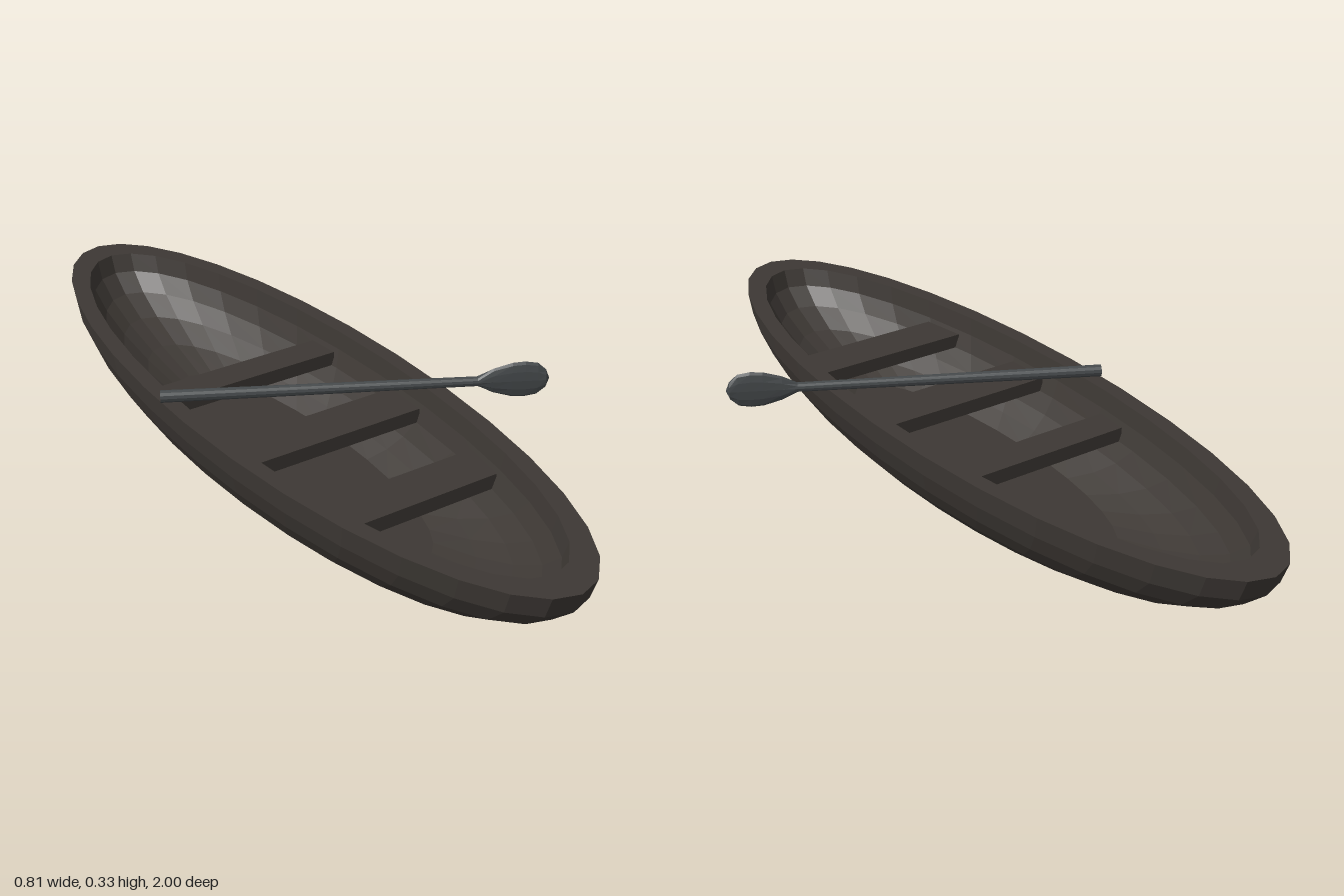
import * as THREE from 'three';

const WOOD = new THREE.MeshStandardMaterial({ color: 0x3d3834, flatShading: true });
const OAR = new THREE.MeshStandardMaterial({ color: 0x45494b, flatShading: true });
const CENTRE_X = -0.105;
const RIM_Y = 0.275;

function addMesh(parent, name, geometry, material) {
  const mesh = new THREE.Mesh(geometry, material);
  mesh.name = name;
  parent.add(mesh);
  return mesh;
}

// Half ellipsoid shell: outer skin up to the rim, across it, and down to a flat floor
function hullGeometry() {
  const step = Math.PI / 16;
  const profile = [];
  for (let i = 0; i <= 8; i++) profile.push(new THREE.Vector2(Math.sin(i * step), -Math.cos(i * step)));
  for (let i = 8; i >= 3; i--) profile.push(new THREE.Vector2(Math.sin(i * step), -Math.cos(i * step)));
  profile.push(new THREE.Vector2(0, -Math.cos(3 * step)));

  const geometry = new THREE.LatheGeometry(profile, 32);
  const outer = new THREE.Vector3(0.297, 0.275, 1);
  const inner = new THREE.Vector3(0.257, 0.235, 0.922);
  const pos = geometry.attributes.position;
  const v = new THREE.Vector3();
  for (let i = 0; i < pos.count; i++) {
    v.fromBufferAttribute(pos, i).multiply(i % profile.length <= 8 ? outer : inner);
    pos.setXYZ(i, v.x, v.y, v.z);
  }
  geometry.computeVertexNormals();
  return geometry;
}

// Plank whose ends follow the curve of the hull
function seatGeometry(zBack, zFront, halfBack, halfFront) {
  const shape = new THREE.Shape([
    new THREE.Vector2(-halfFront, -zFront),
    new THREE.Vector2(halfFront, -zFront),
    new THREE.Vector2(halfBack, -zBack),
    new THREE.Vector2(-halfBack, -zBack),
  ]);
  return new THREE.ExtrudeGeometry(shape, { depth: 0.035, bevelEnabled: false }).rotateX(-Math.PI / 2);
}

// Turned shaft running into a blade, flattened to a thin lens
function oarGeometry() {
  const profile = [
    [0, 0], [0.0145, 0], [0.0115, 0.738], [0.031, 0.775], [0.044, 0.82],
    [0.046, 0.85], [0.041, 0.88], [0.023, 0.9], [0, 0.909],
  ].map(([r, y]) => new THREE.Vector2(r, y));
  const geometry = new THREE.LatheGeometry(profile, 12);
  const pos = geometry.attributes.position;
  for (let i = 0; i < pos.count; i++) {
    const { x: r, y } = profile[i % profile.length];
    if (y > 0.74 && r > 0) pos.setZ(i, pos.getZ(i) * Math.min(1, 0.011 / r));
  }
  geometry.computeVertexNormals();
  return geometry;
}

export function createModel() {
  const model = new THREE.Group();
  model.name = 'rowingBoat';

  const boat = new THREE.Group();
  boat.name = 'boat';
  boat.position.x = CENTRE_X;
  model.add(boat);

  addMesh(boat, 'hull', hullGeometry(), WOOD).position.y = RIM_Y;

  // Seats: back edge, front edge, half widths at each
  const seats = [
    ['backSeat', -0.27, -0.185, 0.231, 0.238],
    ['middleSeat', 0.05, 0.17, 0.243, 0.24],
    ['frontSeat', 0.385, 0.5, 0.222, 0.203],
  ];
  for (const [name, ...size] of seats) {
    addMesh(boat, name, seatGeometry(...size), WOOD).position.y = 0.185;
  }

  // Oar lying across the rim with its blade upright
  const oar = addMesh(model, 'oar', oarGeometry(), OAR);
  const along = new THREE.Vector3(0.8, -0.003, 0.425).normalize();
  const side = new THREE.Vector3(0, 1, 0).cross(along).normalize();
  const up = along.clone().cross(side);
  oar.quaternion.setFromRotationMatrix(new THREE.Matrix4().makeBasis(up, along, side));
  oar.position.set(-0.4, 0.29, -0.11);

  return model;
}
